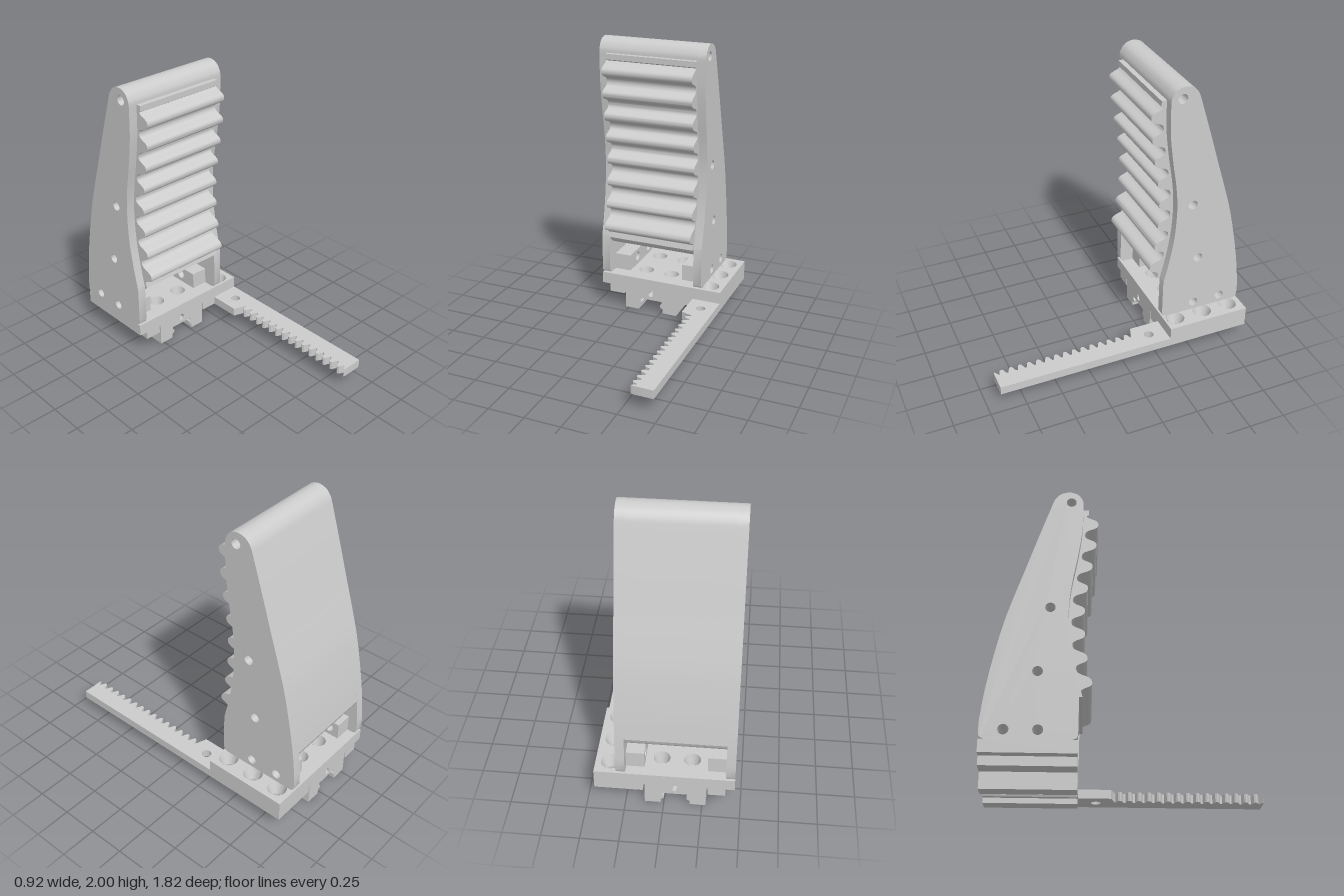
import * as THREE from 'three';
import { toCreasedNormals } from 'three/addons/utils/BufferGeometryUtils.js';

const V = (x, y) => new THREE.Vector2(x, y);
const material = new THREE.MeshStandardMaterial({ color: 0xcccccc });
const openMaterial = new THREE.MeshStandardMaterial({ color: 0xcccccc, side: THREE.DoubleSide });

// In profiles u = -z. Spline through [u, y] pairs.
const spline = (pairs, n) => new THREE.SplineCurve(pairs.map(p => V(...p))).getPoints(n);

function shapeOf(points, holes = []) {
  const shape = new THREE.Shape(points);
  for (const [x, y, r] of holes) {
    const hole = new THREE.Path();
    hole.absarc(x, y, r, 0, Math.PI * 2, true);
    shape.holes.push(hole);
  }
  return shape;
}

function extrude(shape, depth) {
  return new THREE.ExtrudeGeometry(shape, { depth, bevelEnabled: false, curveSegments: 16 });
}

export function createModel() {
  const model = new THREE.Group();
  const add = (name, geometry, mat = material) => {
    const mesh = new THREE.Mesh(toCreasedNormals(geometry, 0.5), mat);
    mesh.name = name;
    model.add(mesh);
    return mesh;
  };
  // Side profile (u, y) swept across x
  const across = (name, shape, x0, x1) =>
    add(name, extrude(shape, x1 - x0).rotateY(Math.PI / 2).translate(x0, 0, 0));
  // Plan profile (x, u) swept up y
  const upward = (name, shape, y0, y1) =>
    add(name, extrude(shape, y1 - y0).rotateX(-Math.PI / 2).translate(0, y0, 0));
  // Front profile (x, y) swept from back to front of the carriage
  const along = (name, shape) => add(name, extrude(shape, 0.59).translate(0, 0, -0.91));
  const rect = (x0, y0, x1, y1) => [V(x0, y0), V(x1, y0), V(x1, y1), V(x0, y1)];

  // Shared curves of the jaw
  const backPairs = [[0.89, 0.54], [0.855, 0.75], [0.802, 1.0], [0.745, 1.2], [0.682, 1.4], [0.605, 1.65], [0.525, 1.9]];
  const crown = spline([[0.525, 1.9], [0.507, 1.945], [0.47, 1.985], [0.41, 2.0], [0.355, 1.98], [0.325, 1.935], [0.32, 1.9]], 24);
  const frontCurve = new THREE.SplineCurve([[0.32, 1.9], [0.325, 1.7], [0.35, 1.5], [0.383, 1.3], [0.398, 1.12],
    [0.388, 0.9], [0.355, 0.7], [0.32, 0.55]].map(p => V(...p)));
  const front = frontCurve.getPoints(40);
  const upperHoles = [[0.4, 1.92, 0.033], [0.513, 1.13, 0.033], [0.576, 0.69, 0.033]];
  const lowerHoles = [[0.56, 0.31, 0.033], [0.765, 0.31, 0.033]];

  // Two side plates
  const plate = [
    V(0.35, 0.25), V(0.88, 0.25), V(0.901, 0.259), V(0.91, 0.28),
    ...spline([[0.91, 0.36], ...backPairs], 30), ...crown.slice(1), ...front.slice(1),
    V(0.32, 0.28), V(0.329, 0.259),
  ];
  for (const [name, x0] of [['rightSidePlate', -0.46], ['leftSidePlate', 0.25]]) {
    across(name, shapeOf(plate, [...upperHoles, ...lowerHoles]), x0, x0 + 0.06);
  }

  // Core between the plates, with a rounded underside
  const belly = spline([[0.32, 0.55], [0.36, 0.5], [0.45, 0.46], [0.6, 0.45], [0.76, 0.455], [0.86, 0.485], [0.89, 0.54]], 24);
  across('jawCore', shapeOf([...belly, ...spline(backPairs, 30).slice(1), ...crown.slice(1), ...front.slice(1, -1)],
    upperHoles), -0.4, 0.25);

  // Wavy grip pad following the front curve
  const wave = [];
  for (let i = 0; i <= 160; i++) {
    const p = frontCurve.getPoint(i / 160);
    const s = Math.cos((p.y - 1.79) / 0.1625 * Math.PI * 2);
    let height = 0.06 + 0.042 * Math.tanh(1.5 * s) / Math.tanh(1.5);
    if (p.y > 1.86) height = 0.035;
    if (p.y < 0.59) height = 0.02;
    wave.push(V(p.x - height, p.y));
  }
  across('gripPad', shapeOf([...wave, ...front.slice().reverse()]), -0.4, 0.25);

  // Mounting ears inside the plates
  for (const [name, x0] of [['rightEar', -0.4], ['leftEar', 0.13]]) {
    across(name, shapeOf(rect(0.42, 0.25, 0.84, 0.37), lowerHoles), x0, x0 + 0.12);
  }

  // Base plate with countersunk holes
  const sinks = [0.81, 0.61, 0.4].map(u => [0.355, u, 0.065]);
  for (const x of [-0.175, 0.025]) for (const u of [0.48, 0.75]) sinks.push([x, u, 0.055]);
  upward('basePlate', shapeOf(rect(-0.46, 0.32, 0.455, 0.91), sinks), 0.165, 0.25);
  for (const [x, u, r] of sinks) {
    add('countersink', new THREE.CylinderGeometry(r, 0.033, 0.085, 24, 1, true).translate(x, 0.2075, -u), openMaterial);
  }
  // Guides on both sides of the rail
  along('rightGuide', shapeOf(rect(-0.4, 0.105, -0.285, 0.165)));
  along('leftGuide', shapeOf(rect(0.135, 0.105, 0.25, 0.165)));

  // Rail carriage: half section mirrored about its centre line
  const half = [[0.015, 0.165], [0.015, 0.14], [0.02, 0.13], [0.012, 0.118], [0, 0.114]];
  const outer = [[0.2, 0.0], [0.2, 0.165]];
  const inner = [[0, 0.09], [0.085, 0.09], [0.085, 0.07], [0.075, 0.062], [0.073, 0.05], [0.078, 0.038], [0.095, 0.034], [0.095, 0.0]];
  const side = [...inner, ...outer, ...half];
  const cx = -0.075;
  const leftPts = side.map(([x, y]) => V(cx + x, y));
  const rightPts = side.map(([x, y]) => V(cx - x, y)).reverse();
  along('leftRailHalf', shapeOf(leftPts));
  along('rightRailHalf', shapeOf(rightPts));

  // Toothed rack bar
  const rack = [V(0.455, -0.91), V(0.455, 0.91), V(0.25, 0.91), V(0.25, 0.105), V(0.33, 0.078)];
  for (let i = 0; i < 15; i++) {
    const u = 0.045 - i * 0.0643;
    rack.push(V(0.338, u + 0.026), V(0.3, u + 0.011), V(0.294, u), V(0.3, u - 0.011), V(0.338, u - 0.026));
  }
  rack.push(V(0.3, -0.905), V(0.315, -0.91));
  upward('rackBar', shapeOf(rack, [0.81, 0.61, 0.4, 0.2].map(u => [0.355, u, 0.033])), 0.105, 0.165);

  return model;
}
